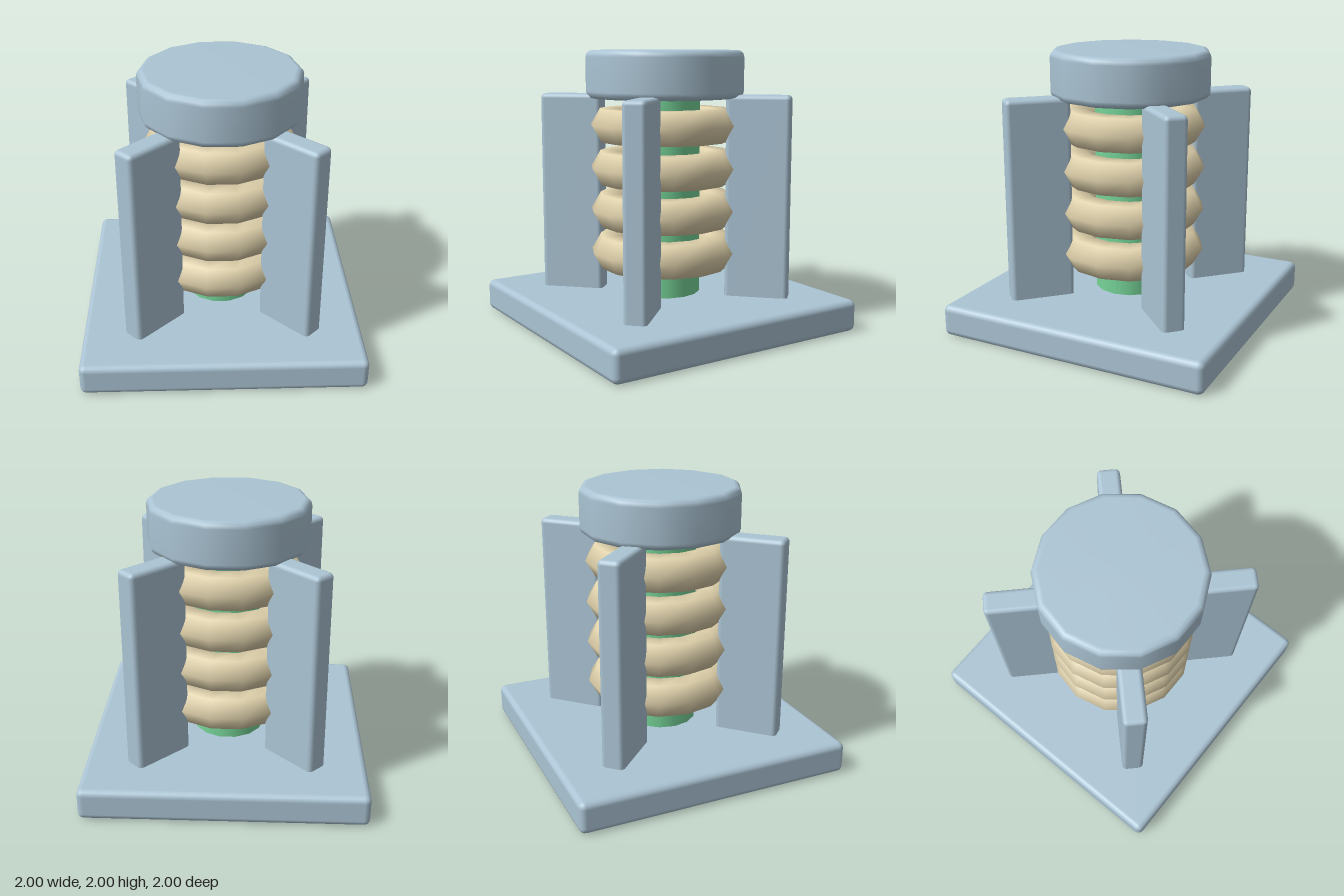
import * as THREE from 'three';
import { RoundedBoxGeometry } from 'three/addons/geometries/RoundedBoxGeometry.js';

const SIDES = 14;

export function createModel() {
  const steel = new THREE.MeshStandardMaterial({ name: 'blueGrey', color: 0xabc4d4 });
  const green = new THREE.MeshStandardMaterial({ name: 'green', color: 0x76d498 });
  const tan = new THREE.MeshStandardMaterial({ name: 'sand', color: 0xe0d2ac });

  const model = new THREE.Group();
  model.name = 'ringedPillar';

  const add = (name, geometry, material, parent = model) => {
    const mesh = new THREE.Mesh(geometry, material);
    mesh.name = name;
    parent.add(mesh);
    return mesh;
  };

  // Square base plate with softened edges
  add('base', new RoundedBoxGeometry(2, 0.23, 2, 2, 0.045), steel).position.y = 0.115;

  // Central core, one corner pointing along +x
  const core = add('core', new THREE.CylinderGeometry(0.26, 0.26, 1.45, SIDES), green);
  core.position.y = 0.955;
  core.rotation.y = Math.PI / 2;

  // Four stacked rings with a hexagonal section
  const ringGeometry = new THREE.TorusGeometry(0.405, 0.136, 6, SIDES);
  ringGeometry.rotateX(Math.PI / 2);
  for (let i = 0; i < 4; i++) {
    add('ring' + (i + 1), ringGeometry, tan).position.y = 0.542 + i * 0.3077;
  }

  // Four diagonal fins, sunk slightly into the base
  const finGeometry = new RoundedBoxGeometry(0.46, 1.505, 0.163, 2, 0.033);
  finGeometry.translate(0.69, 0.9325, 0);
  for (let i = 0; i < 4; i++) {
    add('fin' + (i + 1), finGeometry, steel).rotation.y = Math.PI / 4 + (i * Math.PI) / 2;
  }

  // Cap: a disc with rounded rims
  const radius = 0.575, bottom = 1.66, top = 2, bevel = 0.05;
  const profile = [new THREE.Vector2(0, bottom)];
  const addRim = (y, from) => {
    for (let k = 0; k <= 3; k++) {
      const a = from + (k / 3) * (Math.PI / 2);
      profile.push(new THREE.Vector2(radius - bevel + bevel * Math.cos(a), y + bevel * Math.sin(a)));
    }
  };
  addRim(bottom + bevel, -Math.PI / 2);
  addRim(top - bevel, 0);
  profile.push(new THREE.Vector2(0, top));
  add('cap', new THREE.LatheGeometry(profile, SIDES, Math.PI / 2), steel);

  return model;
}
